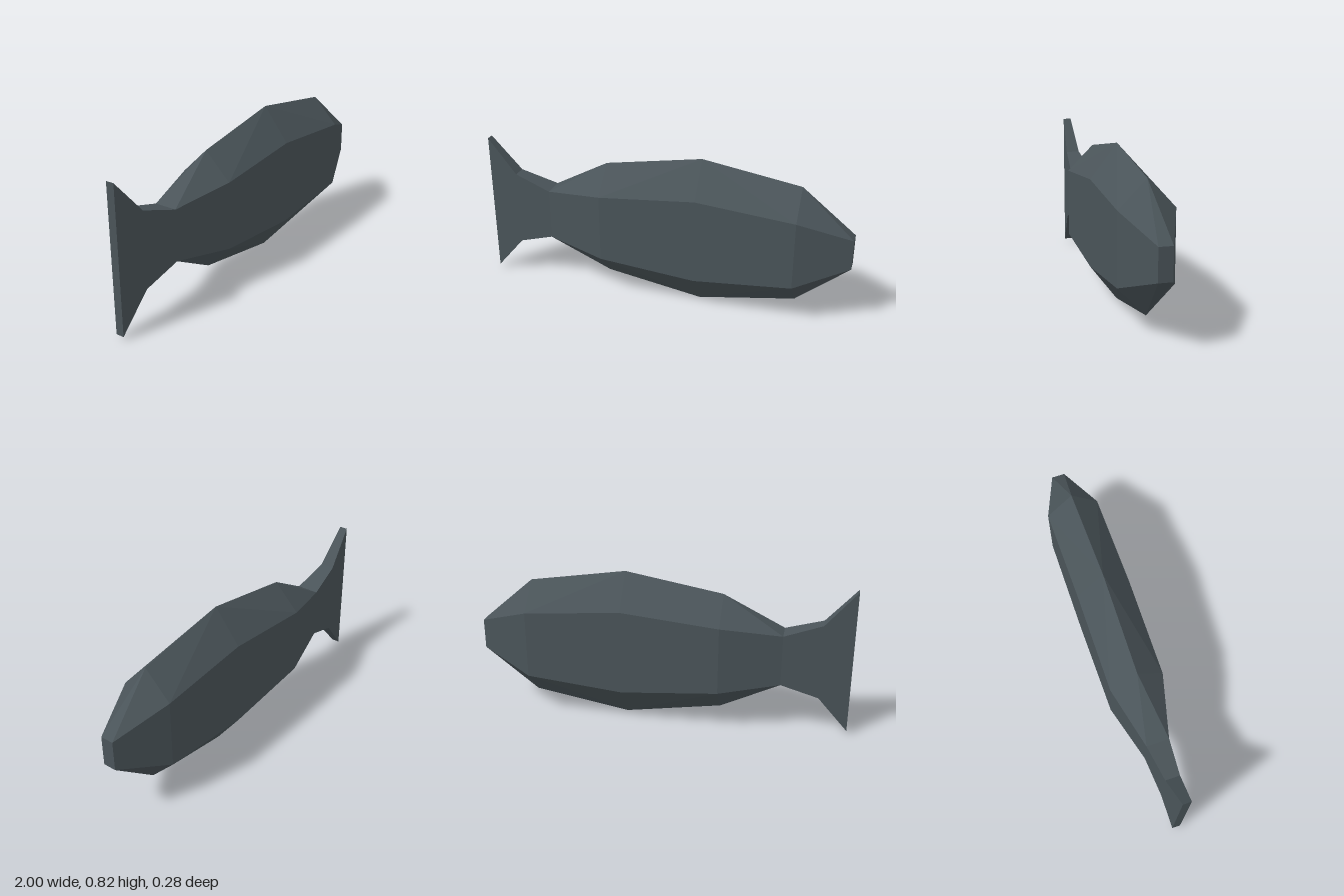
import * as THREE from 'three';

const MID = 0.411; // height of the long axis

// Cross-sections along x: [x, half height of flank, half height of ridge, half thickness]
const tailSections = [
  [-1, 0.392, 0.392, 0.022],
  [-0.84, 0.205, 0.205, 0.038],
  [-0.64, 0.138, 0.138, 0.06],
];
const bodySections = [
  [-0.64, 0.138, 0.138, 0.06],
  [-0.32, 0.183, 0.324, 0.14],
  [0.2, 0.23, 0.411, 0.14],
  [0.72, 0.183, 0.326, 0.14],
  [1, 0.081, 0.081, 0.035],
];

// Faceted skin over six-sided sections, mirrored in y and z
function skin(sections, capStart, capEnd) {
  const pos = [];
  const flank = (s, sy, sz) => [s[0], MID + sy * s[1], sz * s[3]];
  const ridge = (s, sy) => [s[0], MID + sy * s[2], 0];
  const tri = (a, b, c, flip) => pos.push(...a, ...(flip ? c : b), ...(flip ? b : c));
  const quad = (a, b, c, d, flip) => {
    tri(a, b, c, flip);
    tri(a, c, d, flip);
  };

  for (let i = 0; i < sections.length - 1; i++) {
    const a = sections[i], b = sections[i + 1];
    for (const sz of [1, -1]) {
      // flat flank
      quad(flank(a, -1, sz), flank(b, -1, sz), flank(b, 1, sz), flank(a, 1, sz), sz < 0);
      // slope up to the back ridge and down to the belly ridge
      for (const sy of [1, -1]) {
        const flip = sy * sz < 0;
        const fa = flank(a, sy, sz), fb = flank(b, sy, sz);
        const ra = ridge(a, sy), rb = ridge(b, sy);
        if (b[2] > a[2]) quad(fa, fb, rb, ra, flip);
        else quad(fb, ra, fa, fb, flip), pos.splice(-9), tri(fb, rb, ra, flip);
      }
    }
  }

  // blunt end faces
  const cap = (s, flip) =>
    quad(flank(s, -1, 1), flank(s, -1, -1), flank(s, 1, -1), flank(s, 1, 1), flip);
  if (capStart) cap(sections[0], true);
  if (capEnd) cap(sections[sections.length - 1], false);

  const geometry = new THREE.BufferGeometry();
  geometry.setAttribute('position', new THREE.Float32BufferAttribute(pos, 3));
  geometry.computeVertexNormals();
  return geometry;
}

export function createModel() {
  const group = new THREE.Group();
  group.name = 'fish';
  const slate = new THREE.MeshStandardMaterial({ color: 0x4a5459 });
  slate.name = 'slate grey';

  const body = new THREE.Mesh(skin(bodySections, false, true), slate);
  body.name = 'body';
  const tail = new THREE.Mesh(skin(tailSections, true, false), slate);
  tail.name = 'tailFin';
  group.add(body, tail);
  return group;
}
